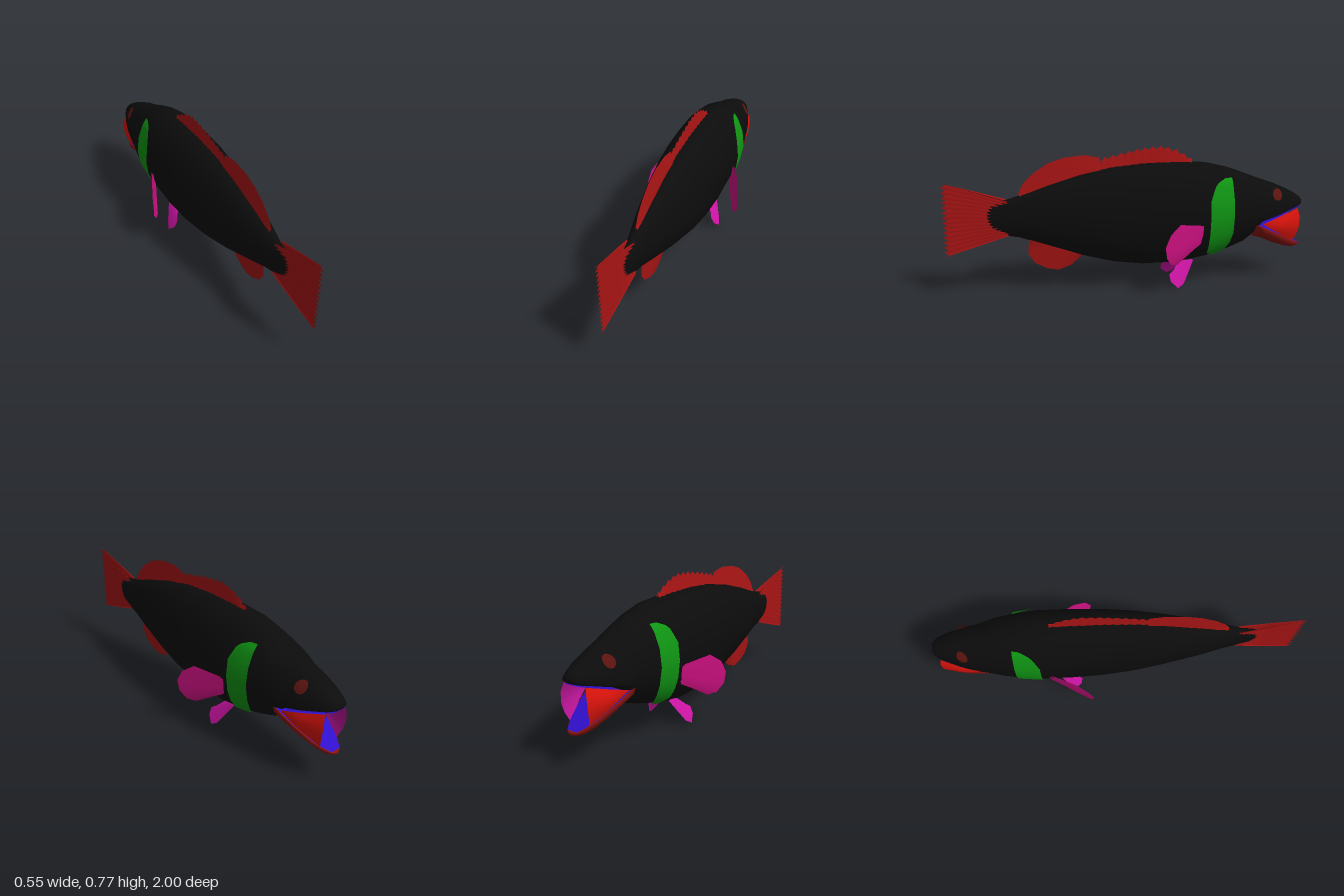
import * as THREE from 'three';
import { mergeVertices, mergeGeometries } from 'three/addons/utils/BufferGeometryUtils.js';

const V = (x, y, z) => new THREE.Vector3(x, y, z);
const mat = (name, color, side = THREE.FrontSide) => {
  const m = new THREE.MeshStandardMaterial({ color, side });
  m.name = name;
  return m;
};

// Body stations: z, top, bottom, height of widest point, half width
const BODY = [
  [0.772, 0.43, 0.43, 0.43, 0], [0.767, 0.49, 0.37, 0.43, 0.012], [0.74, 0.503, 0.345, 0.425, 0.02],
  [0.66, 0.515, 0.315, 0.415, 0.035], [0.6, 0.533, 0.303, 0.415, 0.05], [0.45, 0.585, 0.25, 0.41, 0.085],
  [0.27, 0.638, 0.185, 0.405, 0.118], [0.1, 0.67, 0.137, 0.4, 0.145], [-0.07, 0.685, 0.112, 0.4, 0.162],
  [-0.25, 0.687, 0.11, 0.4, 0.171], [-0.42, 0.677, 0.14, 0.4, 0.175], [-0.55, 0.645, 0.18, 0.4, 0.166],
  [-0.64, 0.612, 0.215, 0.4, 0.152], [-0.69, 0.592, 0.255, 0.395, 0.142], [-0.74, 0.573, 0.335, 0.37, 0.13],
  [-0.82, 0.545, 0.362, 0.385, 0.113], [-0.9, 0.51, 0.39, 0.405, 0.088], [-0.96, 0.478, 0.408, 0.42, 0.062],
  [-0.985, 0.46, 0.418, 0.43, 0.042], [-0.995, 0.447, 0.428, 0.437, 0.02], [-0.997, 0.437, 0.437, 0.437, 0],
];
const JAW = [
  [-0.68, 0.3, 0.3, 0.3, 0], [-0.69, 0.335, 0.25, 0.335, 0.128], [-0.74, 0.31, 0.235, 0.31, 0.122],
  [-0.82, 0.27, 0.2, 0.27, 0.105], [-0.9, 0.23, 0.172, 0.23, 0.08], [-0.95, 0.205, 0.162, 0.205, 0.055],
  [-0.985, 0.19, 0.17, 0.19, 0.03], [-1, 0.183, 0.183, 0.183, 0],
];

// Reads a table sorted by falling first value
function sample(table, z) {
  let i = 0;
  while (i < table.length - 2 && table[i + 1][0] > z) i++;
  const a = table[i], b = table[i + 1];
  const t = THREE.MathUtils.clamp((z - a[0]) / (b[0] - a[0]), 0, 1);
  return a.map((v, k) => v + (b[k] - v) * t);
}

// Smooth surface through rows of points
function grid(rows) {
  const n = rows[0].length, index = [];
  for (let i = 0; i < rows.length - 1; i++) {
    for (let j = 0; j < n - 1; j++) {
      const a = i * n + j, b = a + 1, c = a + n, d = c + 1;
      index.push(a, c, b, b, c, d);
    }
  }
  let g = new THREE.BufferGeometry().setFromPoints(rows.flat());
  g.setIndex(index);
  g = mergeVertices(g, 1e-5);
  g.computeVertexNormals();
  return g;
}

const loft = (stations, sides = 16) => grid(stations.map(([z, top, bottom, c, w]) =>
  Array.from({ length: sides + 1 }, (_, j) => {
    const a = (j / sides) * Math.PI * 2 - Math.PI / 2, s = Math.sin(a);
    return V(w * Math.cos(a), c + s * (s > 0 ? top - c : c - bottom), z);
  })));

// Thin marking that follows the body; rows are y, rear z, front z
function patch(rows, lift = 0.006) {
  return grid(rows.map(([y, z0, z1]) => Array.from({ length: 6 }, (_, j) => {
    const z = z0 + ((z1 - z0) * j) / 5;
    const [, top, bottom, c, w] = sample(BODY, z);
    const k = (y - c) / (y > c ? top - c : c - bottom);
    return V(w * Math.sqrt(Math.max(0, 1 - k * k)) + lift, y + lift * k, z);
  })));
}

// Wedge-shaped fin: thick at the base, sharp at the edge
function fin(base, edge, thickness) {
  const side = s => grid(base.map((p, i) => {
    const t = s * (Array.isArray(thickness) ? thickness[i % 2] : thickness);
    const q = edge[i], mid = p.clone().lerp(q, 0.5);
    return [V(p.x + t, p.y, p.z), V(mid.x + t * 0.55, mid.y, mid.z), q];
  }));
  return mergeGeometries([side(1), side(-1)]);
}
const spread = (a, b, n) => Array.from({ length: n }, (_, i) => a.clone().lerp(b, i / (n - 1)));

export function createModel() {
  const model = new THREE.Group();
  model.name = 'fish';
  const D = THREE.DoubleSide;
  const black = mat('body black', 0x0c0c0c);
  const red = mat('fin red', 0xa81414, D);
  const jawRed = mat('jaw red', 0x8a1410);
  const cheekRed = mat('cheek red', 0xe0140c);
  const cheekPink = mat('cheek lining magenta', 0xb81494, THREE.BackSide);
  const green = mat('band green', 0x109614);
  const pink = mat('pectoral magenta', 0xcc1080, D);
  const purple = mat('pelvic magenta', 0xcc14a4, D);
  const blue = mat('mouth blue', 0x3010cc, D);
  const eyeRed = mat('eye red', 0x5c1410);
  const add = (parent, name, geometry, material) => {
    const m = new THREE.Mesh(geometry, material);
    m.name = name;
    parent.add(m);
  };

  add(model, 'body', loft(BODY), black);
  add(model, 'lowerJaw', loft(JAW), jawRed);

  // Mouth linings
  add(model, 'palate', grid(BODY.slice(14, 19).map(([z, , b, , w]) =>
    [V(w * 0.8, b - 0.003, z), V(-w * 0.8, b - 0.003, z)])), blue);
  add(model, 'jawLining', grid(JAW.slice(1, 7).map(([z, t, , , w]) =>
    [V(w * 0.93, t + 0.004, z), V(-w * 0.93, t + 0.004, z)])), blue);

  // Pleated tail with a toothed edge
  const tailRows = 31;
  const tailEdge = spread(V(0, 0.617, 1), V(0, 0.215, 1), tailRows);
  tailEdge.forEach((p, i) => { if (i % 2) p.z = 0.972; });
  add(model, 'tailFin', fin(spread(V(0, 0.51, 0.66), V(0, 0.32, 0.66), tailRows), tailEdge, [0.021, 0.014]), red);

  // Spiny front dorsal fin
  const crest = [[0.18, 0.705], [0.14, 0.722], [0.03, 0.747], [-0.075, 0.767], [-0.18, 0.775], [-0.26, 0.752], [-0.35, 0.7]];
  const spineBase = spread(V(0, 0.63, 0.18), V(0, 0.67, -0.345), 25);
  const spineEdge = spineBase.map((p, i) => V(0, sample(crest, p.z)[1] - (i % 2 ? 0.016 : 0), p.z));
  add(model, 'spinyDorsalFin', fin(spineBase, spineEdge, [0.013, 0.009]), red);

  // Rounded rear dorsal and anal fins: z, y along the edge
  const dorsal = [[0.6, 0.548], [0.575, 0.595], [0.52, 0.65], [0.44, 0.7], [0.355, 0.727], [0.245, 0.737], [0.165, 0.72]];
  add(model, 'rearDorsalFin', fin(spread(V(0, 0.52, 0.595), V(0, 0.64, 0.16), dorsal.length),
    dorsal.map(([z, y]) => V(0, y, z)), 0.013), red);
  const anal = [[0.555, 0.265], [0.56, 0.21], [0.525, 0.155], [0.46, 0.12], [0.4, 0.107], [0.33, 0.13], [0.27, 0.18]];
  add(model, 'analFin', fin(spread(V(0, 0.295, 0.55), V(0, 0.2, 0.265), anal.length),
    anal.map(([z, y]) => V(0, y, z)), 0.013), red);

  // Paired parts, built for the +x side and mirrored
  const bandRows = [
    [0.6, -0.505, -0.545], [0.58, -0.46, -0.545], [0.56, -0.44, -0.545], [0.49, -0.41, -0.545], [0.4, -0.41, -0.545],
    [0.31, -0.41, -0.545], [0.25, -0.41, -0.535], [0.21, -0.41, -0.52], [0.19, -0.41, -0.505], [0.17, -0.45, -0.485],
  ];
  const eyeRows = Array.from({ length: 9 }, (_, i) => {
    const a = (i / 8) * Math.PI, r = 0.03 * Math.sin(a);
    return [0.49 + 0.03 * Math.cos(a), -0.82 + r, -0.82 - r];
  });
  const pectoral = [V(0.235, 0.39, -0.225), V(0.265, 0.345, -0.165), V(0.275, 0.28, -0.135), V(0.27, 0.22, -0.145),
    V(0.245, 0.175, -0.175), V(0.215, 0.165, -0.215), V(0.178, 0.22, -0.3)];
  const pelvic = [V(0.085, 0.09, -0.23), V(0.098, 0.07, -0.203), V(0.116, 0.035, -0.207), V(0.135, 0, -0.245), V(0.122, 0.02, -0.28)];
  const corner = V(0.122, 0.335, -0.73);
  const rim = [V(0.066, 0.405, -0.955), V(0.078, 0.36, -0.965), V(0.082, 0.305, -0.963), V(0.074, 0.255, -0.952), V(0.055, 0.208, -0.935)];
  const cheek = grid(rim.map(p => [corner, corner.clone().lerp(p, 0.5).add(V(0.008, 0, 0)), p]));

  for (const [label, s] of [['left', 1], ['right', -1]]) {
    const side = new THREE.Group();
    side.name = label + 'Side';
    side.scale.x = s;
    add(side, 'gillBand', patch(bandRows), green);
    add(side, 'eye', patch(eyeRows), eyeRed);
    add(side, 'pectoralFin', fin(spread(V(0.158, 0.355, -0.385), V(0.155, 0.255, -0.36), 7), pectoral, 0.005), pink);
    add(side, 'pelvicFin', fin(spread(V(0.05, 0.13, -0.27), V(0.068, 0.14, -0.345), 5), pelvic, 0.008), purple);
    add(side, 'cheekMembrane', cheek, cheekRed);
    add(side, 'cheekLining', cheek, cheekPink);
    model.add(side);
  }
  return model;
}
